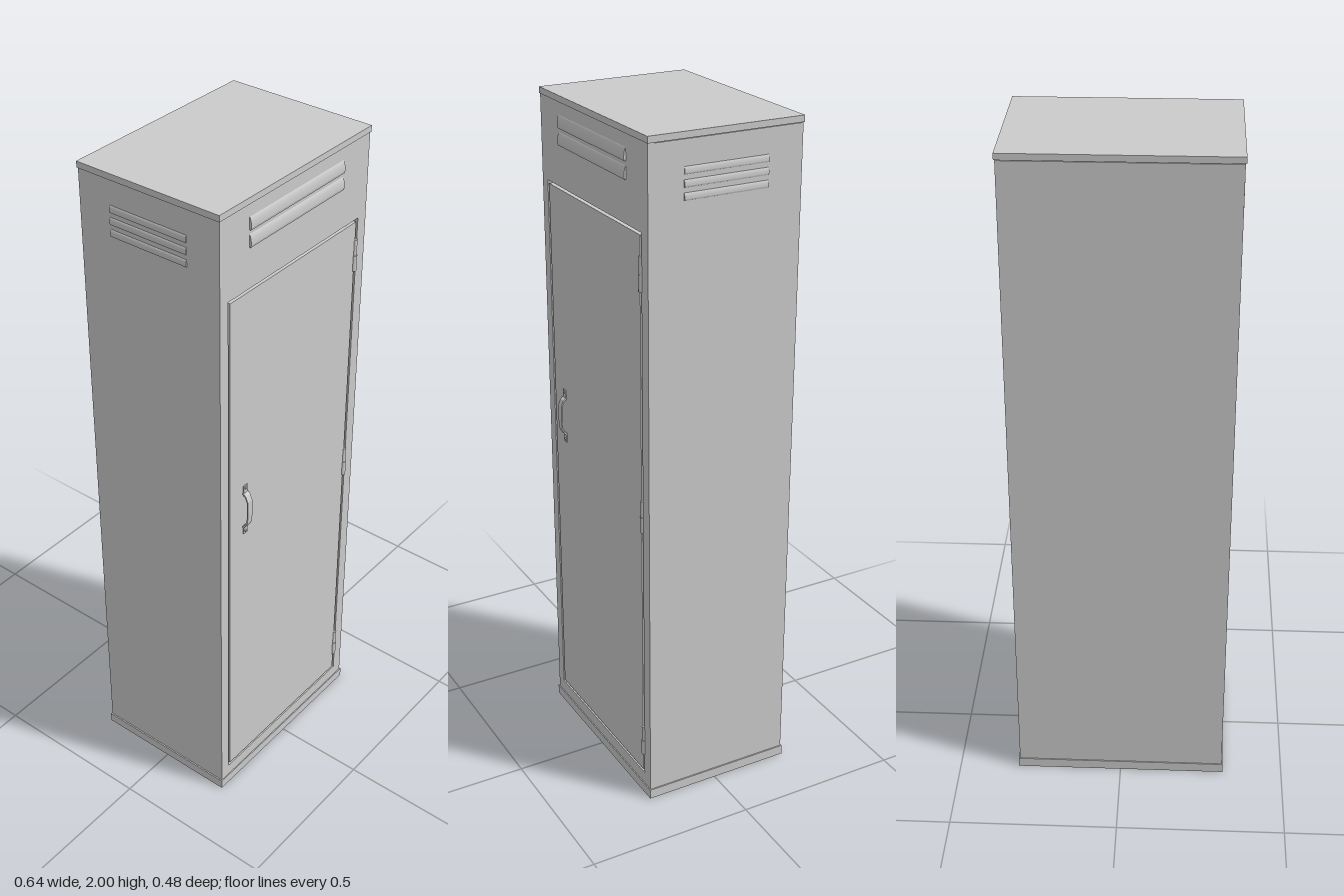
import * as THREE from 'three';

const steel = new THREE.MeshStandardMaterial({ color: 0xcccccc, side: THREE.DoubleSide });
const W = 0.314, BACK = -0.238, FRONT = 0.219; // cabinet half width and depth limits

function add(parent, name, geometry, x = 0, y = 0, z = 0) {
  const mesh = new THREE.Mesh(geometry, steel);
  mesh.name = name;
  mesh.position.set(x, y, z);
  parent.add(mesh);
  return mesh;
}

// Box given by its limits
function slab(parent, name, x0, x1, y0, y1, z0, z1) {
  return add(parent, name, new THREE.BoxGeometry(x1 - x0, y1 - y0, z1 - z0),
    (x0 + x1) / 2, (y0 + y1) / 2, (z0 + z1) / 2);
}

function rect(PathType, x0, x1, y0, y1) {
  return new PathType([[x0, y0], [x1, y0], [x1, y1], [x0, y1]].map(p => new THREE.Vector2(...p)));
}

// Extrudes a (z, y) profile along x, centred on x = 0
function alongX(shape, width) {
  return new THREE.ExtrudeGeometry(shape, { depth: width, bevelEnabled: false, curveSegments: 8 })
    .translate(0, 0, -width / 2).rotateY(-Math.PI / 2);
}

// Pressed louvre hood: rounded above, undercut below, facing +z
function louvre(width, height, depth) {
  const s = new THREE.Shape();
  s.moveTo(-0.002, height / 2);
  s.lineTo(0, height / 2);
  s.quadraticCurveTo(depth, height * 0.3, depth, -height * 0.3);
  s.lineTo(depth * 0.7, -height / 2);
  s.lineTo(-0.002, -height / 2);
  s.closePath();
  return alongX(s, width);
}

// Bowed strap handle with flat mounting feet
function makeHandle() {
  const group = new THREE.Group();
  group.name = 'handle';
  const outer = [[0, 0.062], [0.011, 0.053], [0.018, 0.036], [0.019, 0]];
  const inner = [[0, 0.055], [0.008, 0.049], [0.0145, 0.033], [0.0155, 0]];
  const mirror = pts => pts.slice(0, -1).reverse().map(([z, y]) => [z, -y]);
  const pts = [...outer, ...mirror(outer), ...[...inner, ...mirror(inner)].reverse()];
  add(group, 'handleGrip', alongX(new THREE.Shape(pts.map(p => new THREE.Vector2(...p))), 0.02));
  for (const s of [-1, 1]) {
    add(group, 'handleFoot', new THREE.BoxGeometry(0.016, 0.028, 0.004), 0, s * 0.07, 0.001);
    add(group, 'handleScrew', new THREE.CylinderGeometry(0.004, 0.005, 0.003, 10).rotateX(Math.PI / 2),
      0, s * 0.076, 0.004);
  }
  return group;
}

export function createModel() {
  const locker = new THREE.Group();
  locker.name = 'locker';

  // Cabinet, with a thin base and cap that stand slightly proud
  slab(locker, 'cabinet', -W, W, 0.03, 1.98, BACK, 0.2);
  slab(locker, 'base', -0.318, 0.318, 0, 0.03, -0.241, 0.222);
  slab(locker, 'cap', -0.317, 0.317, 1.982, 2, -0.24, 0.221);

  // Front frame around the door opening
  const frame = rect(THREE.Shape, -W, W, 0.03, 1.982);
  frame.holes.push(rect(THREE.Path, -0.281, 0.278, 0.068, 1.744));
  add(locker, 'frontFrame', new THREE.ExtrudeGeometry(frame, { depth: FRONT - 0.2, bevelEnabled: false }), 0, 0, 0.2);

  // Door set flush, leaving a narrow gap
  slab(locker, 'door', -0.273, 0.27, 0.076, 1.736, 0.2, FRONT);

  // Hinges: two knuckles of different thickness on a pin
  for (const y of [0.182, 0.927, 1.632]) {
    const hinge = new THREE.Group();
    hinge.name = 'hinge';
    hinge.position.set(0.273, y, 0.216);
    add(hinge, 'lowerKnuckle', new THREE.CylinderGeometry(0.009, 0.009, 0.048, 12), 0, -0.024, 0);
    add(hinge, 'upperKnuckle', new THREE.CylinderGeometry(0.0075, 0.0075, 0.048, 12), 0, 0.024, 0);
    locker.add(hinge);
  }

  const handle = makeHandle();
  handle.position.set(-0.208, 1.045, FRONT);
  locker.add(handle);

  // Ventilation louvres above the door and on both sides
  for (const y of [1.928, 1.88]) add(locker, 'frontLouvre', louvre(0.395, 0.036, 0.006), 0, y, FRONT);
  for (const side of [-1, 1]) {
    for (const y of [1.9, 1.866, 1.832]) {
      add(locker, 'sideLouvre', louvre(0.25, 0.02, 0.004), side * W, y, -0.01).rotation.y = side * Math.PI / 2;
    }
  }
  return locker;
}
